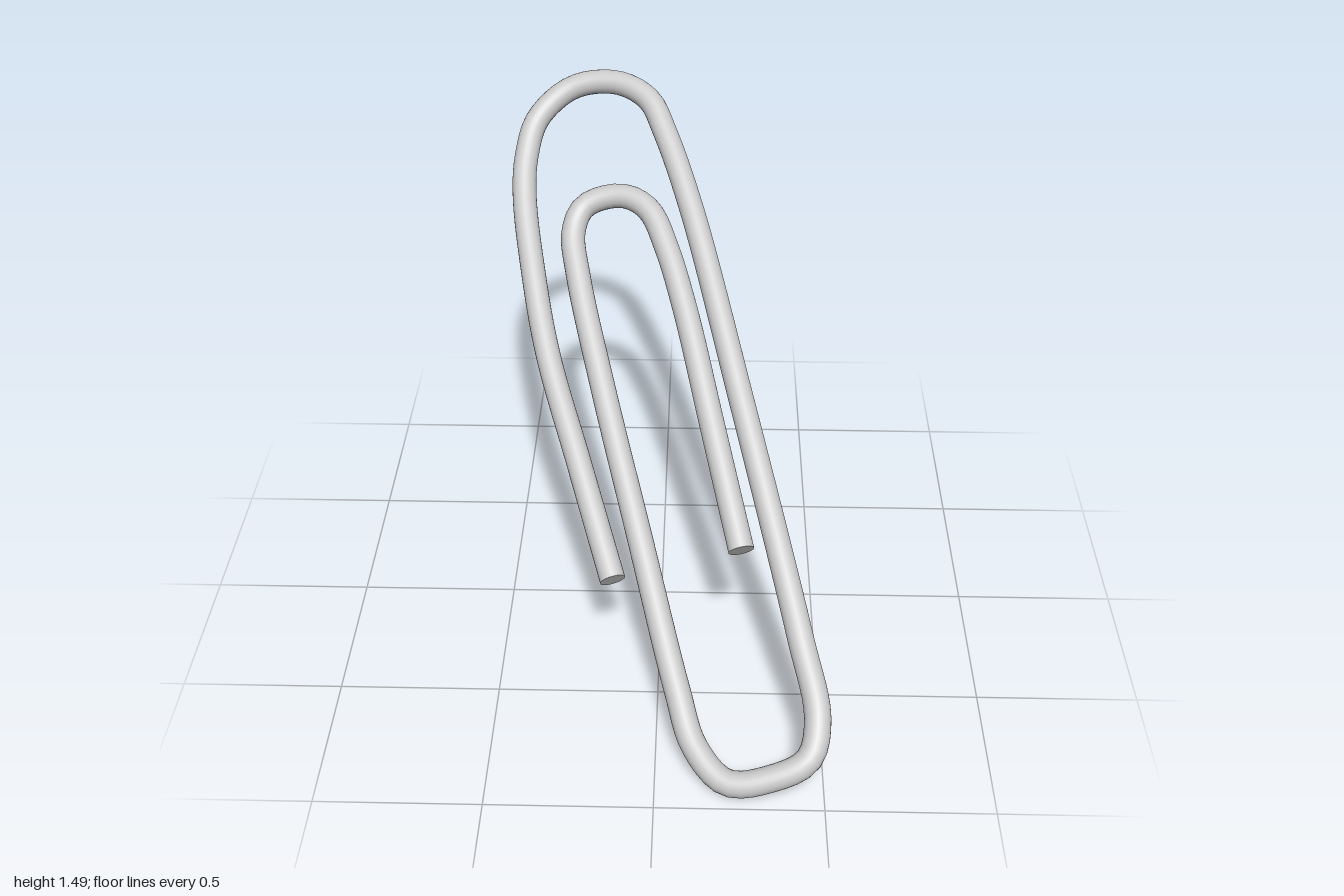
import * as THREE from 'three';

const RADIUS = 0.04;
const SIDES = 24;

// The bent wire lies in one tilted plane: z follows from x and y
const onPlane = ([x, y]) => new THREE.Vector3(x, y, (0.745 + 0.33 * x - y) / 0.826);

// Centre line from the outer free end to the inner free end
const outerLeg = [[-0.142, 0.369], [-0.26, 0.588], [-0.375, 0.803], [-0.437, 0.98]];
const outerBend = [[-0.478, 1.15], [-0.477, 1.24], [-0.442, 1.335], [-0.327, 1.422], [-0.178, 1.452], [-0.067, 1.426], [-0.008, 1.355]];
const longLeg = [[0.087, 1.185], [0.245, 0.811], [0.426, 0.361]];
const lowerBend = [[0.477, 0.211], [0.45, 0.132], [0.343, 0.077], [0.213, 0.045], [0.118, 0.093]];
const middleLeg = [[0.063, 0.191], [-0.063, 0.473], [-0.189, 0.755], [-0.284, 0.99]];
const innerBend = [[-0.306, 1.087], [-0.276, 1.146], [-0.209, 1.178], [-0.13, 1.191], [-0.055, 1.17], [0.004, 1.095]];
const innerLeg = [[0.067, 0.97], [0.16, 0.732], [0.252, 0.495]];

export function createModel() {
  const group = new THREE.Group();
  group.name = 'paperClip';
  const metal = new THREE.MeshStandardMaterial({ color: 0xcccccc });

  const points = [outerLeg, outerBend, longLeg, lowerBend, middleLeg, innerBend, innerLeg].flat().map(onPlane);
  const path = new THREE.CatmullRomCurve3(points, false, 'centripetal');
  path.arcLengthDivisions = 1000;

  // Bent wire
  const wire = new THREE.Mesh(new THREE.TubeGeometry(path, 260, RADIUS, SIDES, false), metal);
  wire.name = 'wire';
  group.add(wire);

  // Flat cut ends, facing outwards along the wire
  for (const [name, t, sign] of [['outerEnd', 0, -1], ['innerEnd', 1, 1]]) {
    const cap = new THREE.Mesh(new THREE.CircleGeometry(RADIUS, SIDES), metal);
    cap.name = name;
    cap.position.copy(path.getPointAt(t));
    const outward = path.getTangentAt(t).multiplyScalar(sign);
    cap.quaternion.setFromUnitVectors(new THREE.Vector3(0, 0, 1), outward);
    group.add(cap);
  }
  return group;
}
